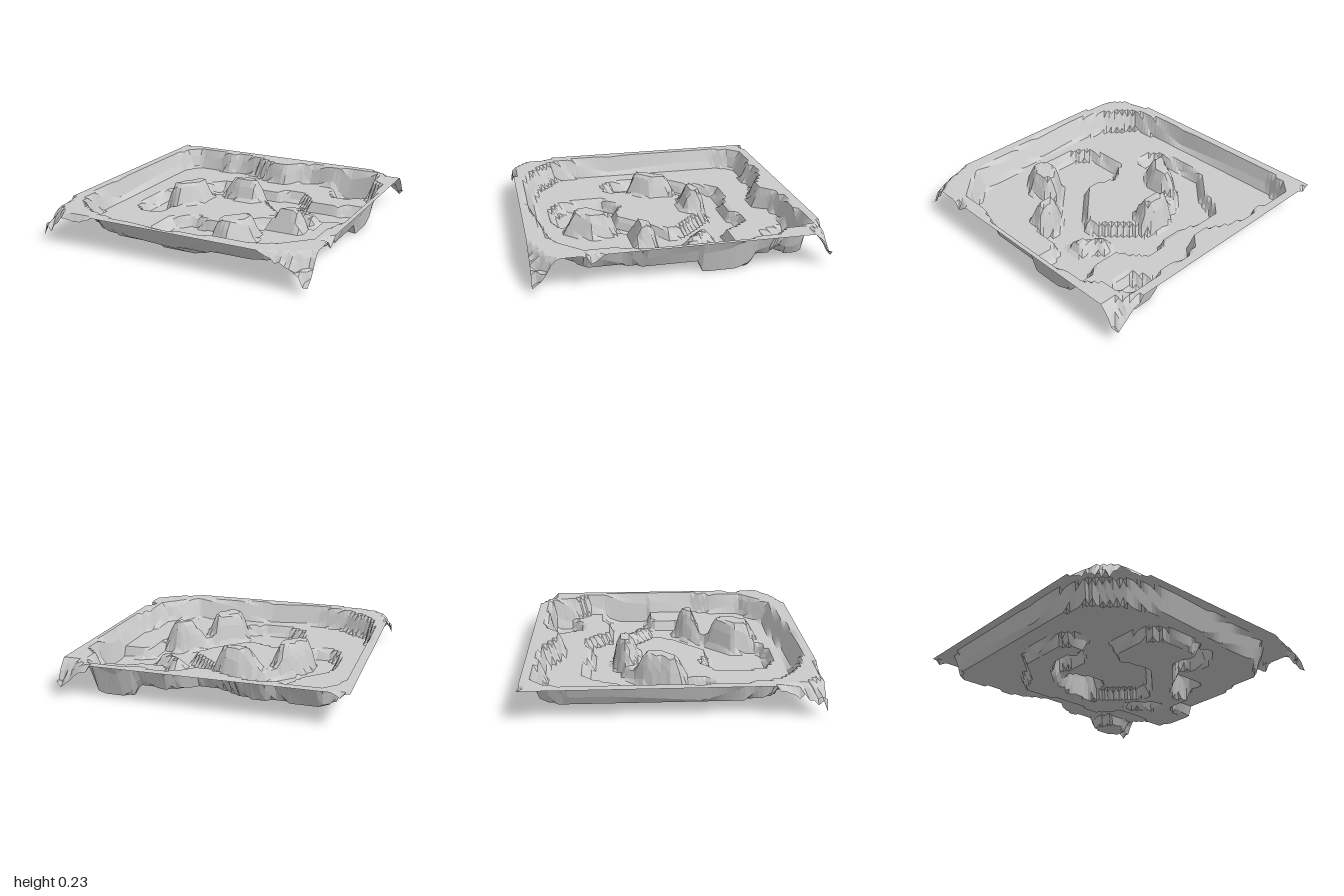
import * as THREE from 'three';

const RIM = 0.235, FLOOR = 0.08, CELLS = 64;

// Outlines as x, z pairs
const basin = [-0.91, -0.7, -0.87, -0.84, -0.8, -0.91, -0.6, -0.9, -0.5, -0.87, -0.42, -0.91, -0.25, -0.88,
  -0.1, -0.8, 0.05, -0.77, 0.15, -0.86, 0.25, -0.9, 0.45, -0.88, 0.6, -0.9, 0.79, -0.89, 0.82, -0.7,
  0.91, -0.6, 0.93, -0.3, 0.94, 0.25, 0.89, 0.4, 0.87, 0.65, 0.75, 0.75, 0.63, 0.84, 0.35, 0.86,
  0, 0.91, -0.4, 0.9, -0.65, 0.83, -0.85, 0.67, -0.9, 0.45, -0.92, 0.2, -0.91, -0.4];
const river = [1.1, -0.48, 0.73, -0.47, 0.65, -0.42, 0.42, -0.42, 0.36, -0.52, 0.29, -0.6, 0.18, -0.6,
  0.1, -0.55, -0.08, -0.55, -0.2, -0.59, -0.41, -0.6, -0.48, -0.5, -0.54, -0.36, -0.7, -0.2, -0.73, 0,
  -0.7, 0.2, -0.64, 0.28, -0.51, 0.27, -0.48, 0.13, -0.54, 0.06, -0.5, -0.1, -0.4, -0.22, -0.3, -0.31,
  -0.15, -0.35, -0.08, -0.4, 0.08, -0.38, 0.18, -0.26, 0.33, -0.12, 0.35, -0.03, 0.2, 0.15, 0.05, 0.3,
  -0.08, 0.3, -0.2, 0.25, -0.34, 0.35, -0.35, 0.52, -0.31, 0.68, -0.18, 0.75, 0, 0.76, 0.14, 0.71,
  0.14, 0.5, 0.3, 0.35, 0.4, 0.2, 0.55, 0.1, 0.67, 0.12, 0.67, -0.08, 0.75, -0.12, 1.1, -0.1];
const pit = [0.47, -0.95, 0.48, -0.8, 0.54, -0.67, 0.65, -0.67, 0.77, -0.74, 0.77, -0.95];
const hills = [
  [-0.53, 0.07, -0.44, 0.09, -0.37, 0.03, -0.31, -0.04, -0.31, -0.16, -0.36, -0.22, -0.43, -0.17, -0.48, -0.07, -0.53, 0],
  [-0.21, -0.28, -0.1, -0.24, 0.04, -0.24, 0.07, -0.34, 0, -0.38, -0.1, -0.37, -0.18, -0.34],
  [0.41, 0.25, 0.61, 0.25, 0.63, 0.15, 0.55, 0.11, 0.46, 0.16],
  [0.16, 0.64, 0.28, 0.68, 0.39, 0.53, 0.37, 0.4, 0.3, 0.35, 0.23, 0.42, 0.14, 0.52],
];
const islet = [0.36, -0.28, 0.42, -0.33, 0.48, -0.25, 0.58, -0.22, 0.58, -0.11, 0.5, -0.12, 0.44, -0.19, 0.37, -0.22];
const brokenCorners = [
  [-1.2, 0.65, -0.97, 0.67, -0.94, 0.87, -0.85, 0.96, -0.6, 0.98, -0.55, 1.2, -1.2, 1.2],
  [0.64, 1.2, 0.68, 0.98, 0.8, 0.95, 0.9, 0.9, 0.96, 0.84, 1.2, 0.82, 1.2, 1.2],
  [1.2, 0.53, 0.97, 0.55, 0.95, 0.65, 1.2, 0.72],
  [0.73, -1.2, 0.75, -0.98, 0.85, -0.95, 0.9, -0.89, 1.2, -0.87, 1.2, -1.2],
  [-0.98, -1.2, -0.97, -0.98, -0.9, -0.98, -0.88, -1.2],
];

// Distance to an outline, positive inside
function inside(poly, x, z) {
  let best = Infinity, within = false;
  const n = poly.length;
  for (let i = 0; i < n; i += 2) {
    const ax = poly[i], az = poly[i + 1], bx = poly[(i + 2) % n], bz = poly[(i + 3) % n];
    const dx = bx - ax, dz = bz - az;
    const t = THREE.MathUtils.clamp(((x - ax) * dx + (z - az) * dz) / (dx * dx + dz * dz), 0, 1);
    best = Math.min(best, Math.hypot(x - ax - t * dx, z - az - t * dz));
    if ((az > z) !== (bz > z) && x < ax + ((z - az) / dz) * dx) within = !within;
  }
  return within ? best : -best;
}

// 0 outside, 1 inside, with a slope of the given half width
const ramp = (poly, x, z, half) => THREE.MathUtils.clamp(0.5 + inside(poly, x, z) / (2 * half), 0, 1);

// Repeatable roughness from -1 to 1
function rough(i, j) {
  const s = Math.sin(i * 127.1 + j * 311.7) * 43758.5453;
  return 2 * (s - Math.floor(s)) - 1;
}

function heightAt(x, z, i, j) {
  const { lerp } = THREE.MathUtils;
  // Valley floor with river bed, pit and islet
  const wet = Math.max(ramp(river, x, z, 0.016), ramp(pit, x, z, 0.02));
  let ground = FLOOR * (1 - wet);
  ground = Math.max(ground, FLOOR * ramp(islet, x, z, 0.025));
  // Rim wall, gentler at the front
  let h = lerp(RIM, ground, ramp(basin, x, z, z > 0.7 ? 0.035 : 0.02));
  // Flat-topped hills
  for (const hill of hills) h = Math.max(h, lerp(ground, RIM, ramp(hill, x, z, 0.03)));
  // Crumbling outer corners
  for (const corner of brokenCorners) {
    const d = inside(corner, x, z);
    if (d > 0) h = Math.max(0.04, h - Math.min(0.19, d * 1.4 * (1 + 0.3 * rough(i, j))));
  }
  return h;
}

export function createModel() {
  const group = new THREE.Group();
  group.name = 'terrain';
  const geometry = new THREE.PlaneGeometry(2, 2, CELLS, CELLS).rotateX(-Math.PI / 2);
  const pos = geometry.attributes.position;
  for (let k = 0; k < pos.count; k++) {
    const i = k % (CELLS + 1), j = Math.floor(k / (CELLS + 1));
    pos.setY(k, heightAt(pos.getX(k), pos.getZ(k), i, j));
  }
  geometry.computeVertexNormals();
  const material = new THREE.MeshStandardMaterial({ color: 0xcccccc, flatShading: true, side: THREE.DoubleSide });
  const land = new THREE.Mesh(geometry, material);
  land.name = 'landSurface';
  group.add(land);
  return group;
}
